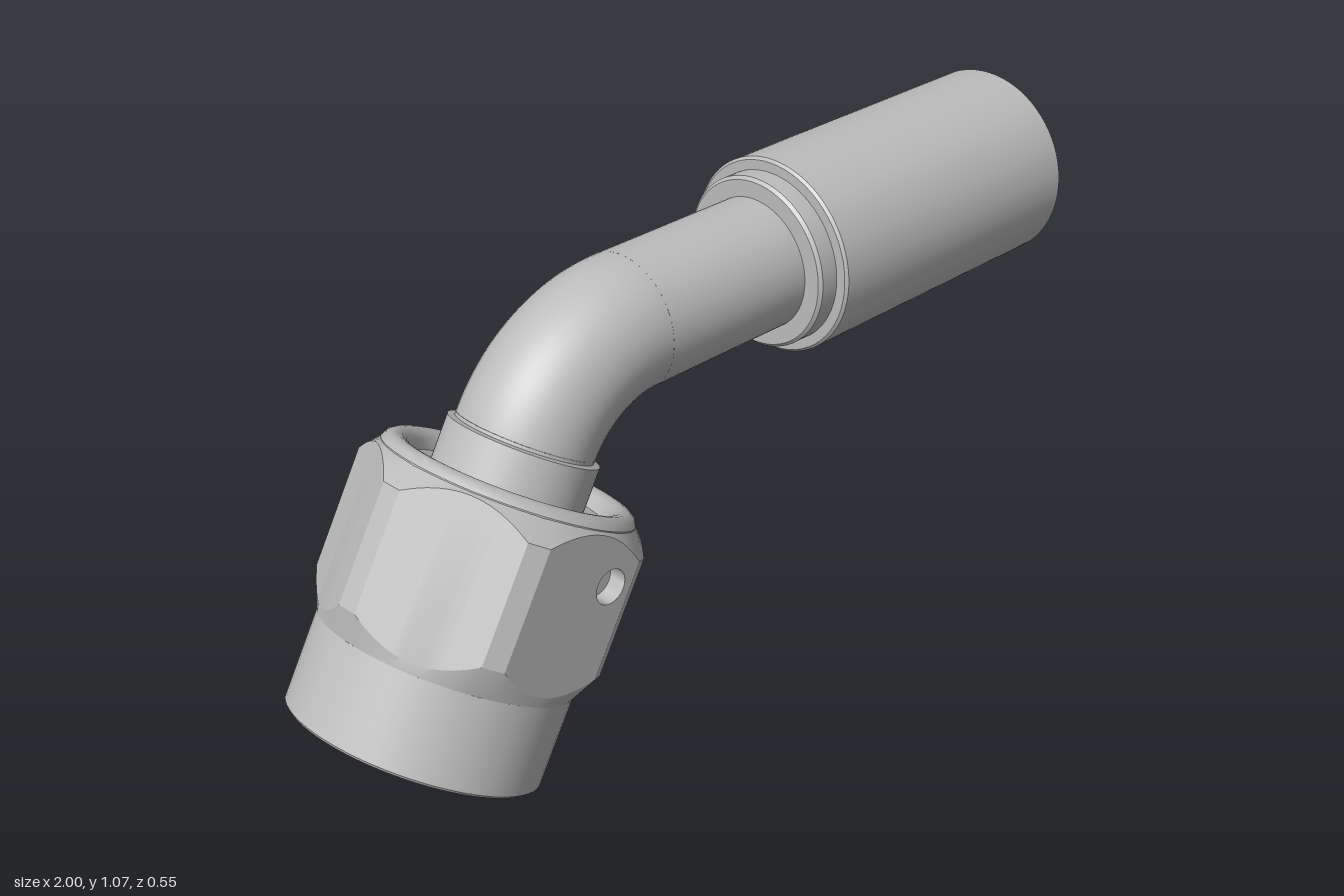
import * as THREE from 'three';
import { toCreasedNormals } from 'three/addons/utils/BufferGeometryUtils.js';

const steel = new THREE.MeshStandardMaterial({ color: 0xbcbcbc, side: THREE.DoubleSide });
steel.name = 'steel grey';

function add(parent, name, geometry) {
  const mesh = new THREE.Mesh(geometry, steel);
  mesh.name = name;
  parent.add(mesh);
  return mesh;
}

// Turned part from [radius, height] pairs
function turned(profile, segments = 72) {
  const points = profile.map(([r, y]) => new THREE.Vector2(r, y));
  return toCreasedNormals(new THREE.LatheGeometry(points, segments), 0.6);
}

// Hexagon sizes: flats at the apothem, corners trimmed to a cylinder
const APOTHEM = 0.275, CORNER = 0.305, CYL = 0.27;
const HALF = Math.acos(APOTHEM / CORNER);
const STEPS = 12;
const bottomAt = r => 0.212 + (r - 0.272) * 1.5;   // lower chamfer cone
const topAt = r => 0.513 + (CORNER - r) * 1.4;     // upper chamfer cone

// Hexagon with conical chamfers; the front flat is left open for the drilled plate
function hexBody() {
  const pos = [], index = [], columns = [];
  for (let k = 0; k < 6; k++) {
    for (let i = 0; i <= STEPS; i++) {
      const phi = -HALF + (2 * HALF * i) / STEPS;
      columns.push({ a: Math.PI / 6 + (k * Math.PI) / 3 + phi, r: APOTHEM / Math.cos(phi), front: k === 1 && i < STEPS });
    }
  }
  for (const { a, r } of columns) {
    const rows = [[CYL, 0.195], [r, bottomAt(r)], [r, topAt(r)], [0.266, 0.56]];
    for (const [rad, y] of rows) pos.push(rad * Math.cos(a), y, rad * Math.sin(a));
  }
  const n = columns.length;
  for (let c = 0; c < n; c++) {
    for (let j = 0; j < 3; j++) {
      if (j === 1 && columns[c].front) continue;
      const p = c * 4 + j, q = ((c + 1) % n) * 4 + j;
      index.push(p, p + 1, q, q, p + 1, q + 1);
    }
  }
  const g = new THREE.BufferGeometry();
  g.setAttribute('position', new THREE.Float32BufferAttribute(pos, 3));
  g.setIndex(index);
  return toCreasedNormals(g, 0.3);
}

// Front flat of the hexagon, with curved ends and a round hole
function drilledFlat(hx, hy, hr) {
  const lower = [], upper = [];
  for (let i = 0; i <= STEPS; i++) {
    const phi = -HALF + (2 * HALF * i) / STEPS, r = APOTHEM / Math.cos(phi);
    const x = APOTHEM * Math.tan(phi);
    lower.push(new THREE.Vector2(x, bottomAt(r)));
    upper.unshift(new THREE.Vector2(x, topAt(r)));
  }
  const shape = new THREE.Shape([...lower, ...upper]);
  shape.holes.push(new THREE.Path().absarc(hx, hy, hr, 0, Math.PI * 2, true));
  return new THREE.ShapeGeometry(shape, 24);
}

export function createModel() {
  const model = new THREE.Group();
  model.name = 'angledHoseFitting';

  // Straight side, its axis turned to +x
  const hoseSide = new THREE.Group();
  hoseSide.name = 'hoseSide';
  hoseSide.position.set(0, 0.863, 0);
  hoseSide.rotation.z = -Math.PI / 2;
  model.add(hoseSide);
  add(hoseSide, 'straightPipe', turned([
    [0.146, -0.17], [0.146, 0.96], [0.133, 0.968], [0.13, 0.99], [0.112, 0.99], [0.112, -0.17],
  ]));
  add(hoseSide, 'crimpSleeve', turned([
    [0.146, 0.215], [0.183, 0.215], [0.19, 0.222], [0.19, 0.265], [0.212, 0.265], [0.218, 0.271],
    [0.218, 1], [0.203, 1], [0.18, 0.33], [0.146, 0.33],
  ]));

  // Sixty degree bend, outside and bore
  for (const [name, radius] of [['pipeBend', 0.146], ['bendBore', 0.112]]) {
    const bend = add(model, name, new THREE.TorusGeometry(0.31, radius, 48, 32, Math.PI / 3));
    bend.position.set(-0.17, 0.553, 0);
    bend.rotation.z = Math.PI / 2;
  }

  // Nut side, its axis leaning thirty degrees
  const nutSide = new THREE.Group();
  nutSide.name = 'nutSide';
  nutSide.position.set(-0.768, 0.138, 0);
  nutSide.rotation.z = -Math.PI / 6;
  model.add(nutSide);
  add(nutSide, 'neck', turned([
    [0.112, 0.3], [0.2, 0.36], [0.2, 0.41], [0.16, 0.45], [0.16, 0.648], [0.146, 0.651],
    [0.146, 0.658], [0.112, 0.658], [0.112, 0.3],
  ]));
  add(nutSide, 'nutSkirt', turned([
    [0.16, 0.46], [0.23, 0.4], [0.23, 0.03], [0.25, 0], [0.264, 0], [CYL, 0.006], [CYL, 0.195],
  ]));
  add(nutSide, 'nutHexagon', hexBody());
  add(nutSide, 'nutCollar', turned([
    [0.266, 0.55], [0.267, 0.562], [0.26, 0.574], [0.25, 0.58], [0.24, 0.582], [0.229, 0.58],
    [0.219, 0.574], [0.212, 0.566], [0.205, 0.545], [0.16, 0.54],
  ]));

  // Drilled front flat and the blind hole behind it
  const hx = 0.075, hy = 0.455, hr = 0.038;
  add(nutSide, 'drilledFlat', drilledFlat(hx, hy, hr)).position.z = APOTHEM;
  const hole = add(nutSide, 'wireHole', turned([[hr, 0.04], [hr, 0], [0, 0]], 24));
  hole.position.set(hx, hy, APOTHEM - 0.04);
  hole.rotation.x = Math.PI / 2;

  return model;
}
